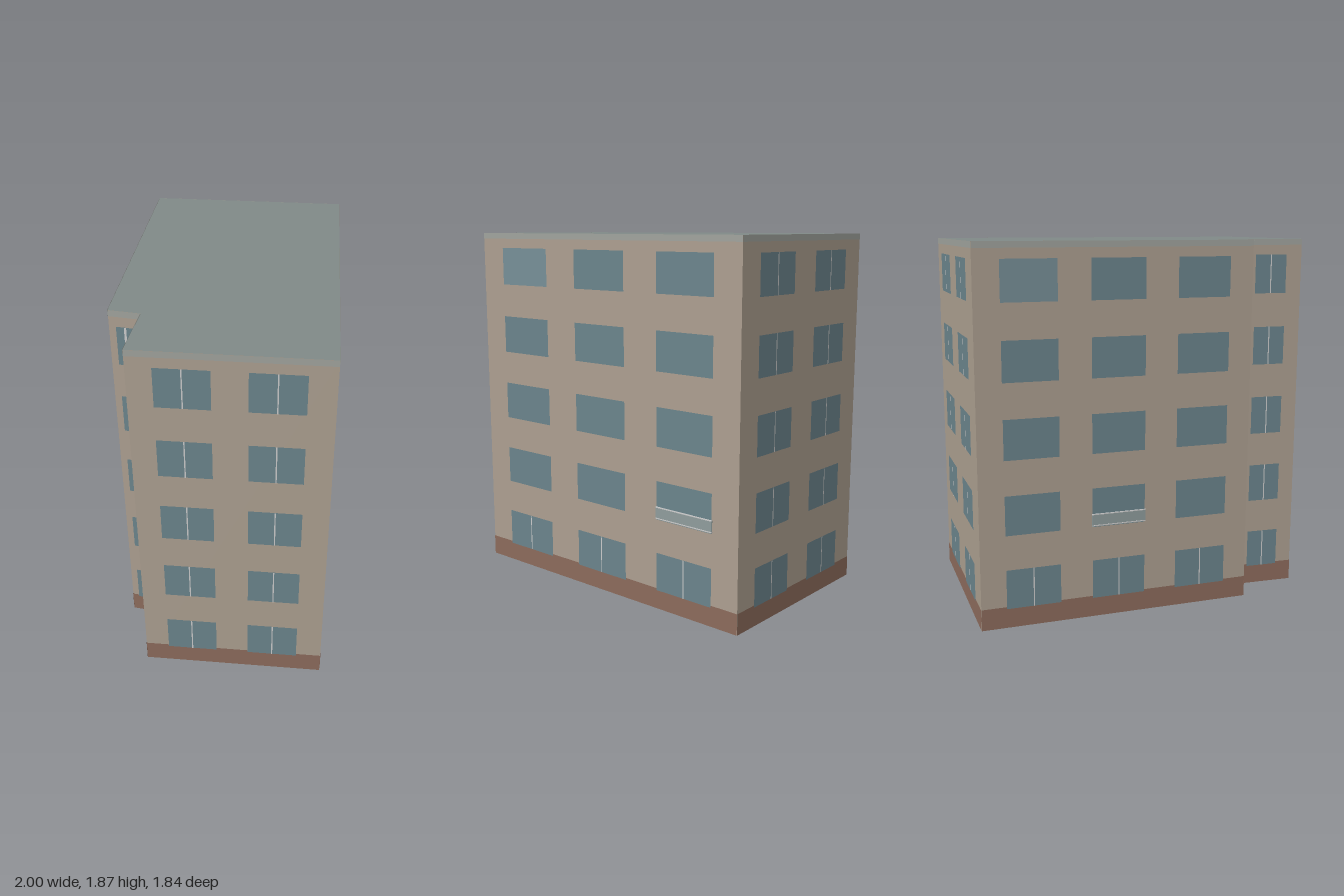
import * as THREE from 'three';

const HEIGHT = 1.865, FLOOR = 0.3725, SILL = 0.098, WINDOW_H = 0.198;

const paint = (color) => new THREE.MeshStandardMaterial({ color, side: THREE.DoubleSide });
const mats = {
  wall: paint(0xac9f90), plinth: paint(0x8c6b5c), cornice: paint(0xa0a39d), roof: paint(0x808a87),
  glass: paint(0x6b848c), paleGlass: paint(0x778f97), mullion: paint(0xc4c8c6), balcony: paint(0x8f9c9c),
};

// Footprint corners (x, z) in order; each facade runs from its corner to the next.
// spans: window start and end as fractions of the facade's length.
const wide = [[0.09, 0.285], [0.402, 0.597], [0.717, 0.912]];
const pair = [[0.13, 0.407], [0.585, 0.862]];
const facades = [
  { name: 'frontFacade', at: [-1, -0.165], spans: wide, balcony: 1 },
  { name: 'notchSideFacade', at: [0.035, 0.785], spans: [[0.22, 0.78]], split: true, bar: 0.011 },
  { name: 'notchFrontFacade', at: [0.155, 0.685], spans: [[0.215, 0.74]], split: true },
  { name: 'rightFacade', at: [0.385, 0.918], spans: pair, split: true },
  { name: 'backFacade', at: [1, 0.255], spans: wide, balcony: 2 },
  { name: 'leftFacade', at: [-0.305, -0.92], spans: pair, split: true },
];

function add(group, name, geometry, material) {
  const mesh = new THREE.Mesh(geometry, material);
  mesh.name = name;
  group.add(mesh);
  return mesh;
}

// Flat upright panel between x0..x1 and y0..y1, set out from the wall by z
function panel(group, name, x0, x1, y0, y1, z, material) {
  add(group, name, new THREE.PlaneGeometry(x1 - x0, y1 - y0), material)
    .position.set((x0 + x1) / 2, (y0 + y1) / 2, z);
}

// Shallow balcony guard with a top and a bottom rail
function balcony(group, x0, x1, y) {
  const guard = new THREE.Group();
  guard.name = 'balcony';
  guard.position.set((x0 + x1) / 2, y, 0.004);
  const w = x1 - x0 + 0.006;
  add(guard, 'balconyPanel', new THREE.BoxGeometry(w, 0.062, 0.006), mats.balcony).position.y = 0.034;
  for (const h of [0.008, 0.065])
    add(guard, 'balconyRail', new THREE.BoxGeometry(w, 0.005, 0.009), mats.mullion).position.y = h;
  group.add(guard);
}

function buildFacade(facade, next) {
  const [ax, az] = facade.at, [bx, bz] = next.at;
  const length = Math.hypot(bx - ax, bz - az);
  const group = new THREE.Group();
  group.name = facade.name;
  group.position.set(ax, 0, az);
  group.rotation.y = Math.atan2(az - bz, bx - ax); // local +z points outwards

  panel(group, 'wall', 0, length, 0, HEIGHT, 0, mats.wall);
  panel(group, 'plinth', 0, length, 0, 0.108, 0.0015, mats.plinth);
  panel(group, 'cornice', 0, length, HEIGHT - 0.03, HEIGHT, 0.0015, mats.cornice);

  for (let floor = 0; floor < 5; floor++) {
    const y = SILL + floor * FLOOR;
    facade.spans.forEach(([s, e], column) => {
      const x0 = s * length, x1 = e * length, mid = (x0 + x1) / 2;
      const pale = !facade.split && floor === 4 && column === 0;
      panel(group, 'window', x0, x1, y, y + WINDOW_H, 0.003, pale ? mats.paleGlass : mats.glass);
      // Wide windows are divided on the ground floor only
      if (facade.split || floor === 0) {
        const half = (facade.bar ?? 0.006) / 2;
        panel(group, 'mullion', mid - half, mid + half, y, y + WINDOW_H, 0.0045, mats.mullion);
      }
      if (floor === 1 && column === facade.balcony) balcony(group, x0, x1, y);
    });
  }
  return group;
}

export function createModel() {
  const building = new THREE.Group();
  building.name = 'apartmentBlock';

  facades.forEach((f, i) => building.add(buildFacade(f, facades[(i + 1) % facades.length])));

  // Flat roof over the footprint; the underside stays open
  const outline = new THREE.Shape(facades.map(({ at: [x, z] }) => new THREE.Vector2(x, -z)));
  add(building, 'roof', new THREE.ShapeGeometry(outline).rotateX(-Math.PI / 2), mats.roof).position.y = HEIGHT;

  return building;
}
